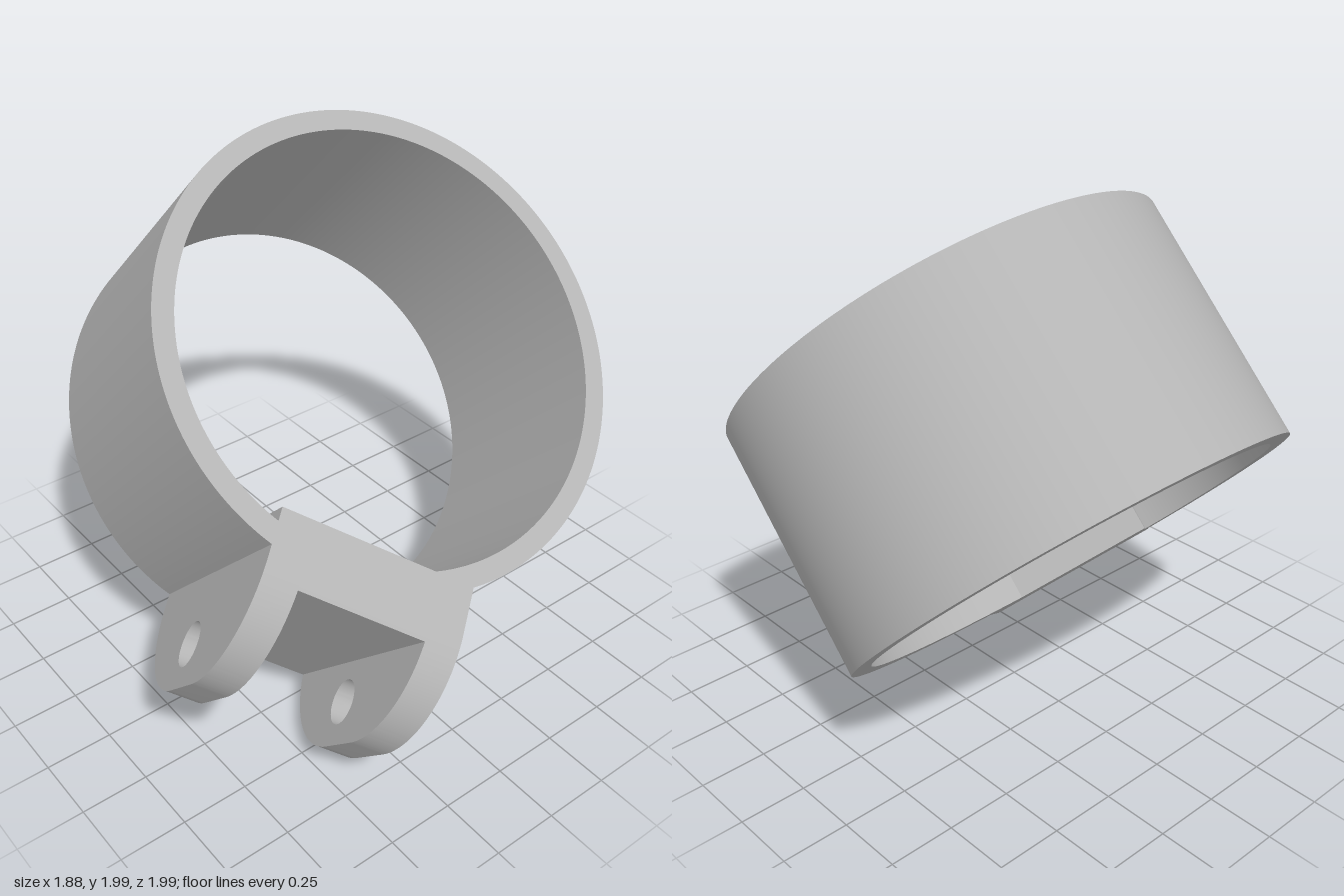
import * as THREE from 'three';
import { toCreasedNormals } from 'three/addons/utils/BufferGeometryUtils.js';

const grey = new THREE.MeshStandardMaterial({ color: 0xb5b5b5 });
grey.name = 'plain grey';

const HALF = 0.463;                    // half width of the band
const R_OUT = 0.855, R_IN = 0.78;      // band radii
const FLAT = 0.70;                     // distance of the inner flat from the axis
const T0 = -0.22, T1 = 0.49;           // sideways extent of the lug
const EAR = 0.125, TIP = 1.23, FLOOR = 0.93, FILLET = 0.37;

function extrude(shape, depth, curveSegments) {
  const g = new THREE.ExtrudeGeometry(shape, { depth, curveSegments, bevelEnabled: false });
  return toCreasedNormals(g, 0.3);
}

function part(name, geometry) {
  const mesh = new THREE.Mesh(geometry, grey);
  mesh.name = name;
  return mesh;
}

// Band: round outside, inside round with a stepped flat behind the lug
function bandGeometry() {
  const shape = new THREE.Shape();
  shape.absarc(0, 0, R_OUT, 0, Math.PI * 2, false);
  const hole = new THREE.Path();
  hole.moveTo(FLAT, T0);
  hole.lineTo(Math.sqrt(R_IN ** 2 - T0 ** 2), T0);
  hole.absarc(0, 0, R_IN, Math.asin(T0 / R_IN), Math.acos(FLAT / R_IN), true);
  hole.closePath();
  shape.holes.push(hole);
  const g = extrude(shape, HALF * 2, 128);
  g.rotateX(-Math.PI / 2);
  g.translate(0, -HALF, 0);
  return g;
}

// Ear: plate with two large rounded corners and a pin hole
function earGeometry() {
  const s = new THREE.Shape();
  const c = TIP - FILLET, h = HALF - FILLET;
  s.moveTo(FLAT, -HALF);
  s.lineTo(c, -HALF);
  s.absarc(c, -h, FILLET, -Math.PI / 2, 0, false);
  s.lineTo(TIP, h);
  s.absarc(c, h, FILLET, 0, Math.PI / 2, false);
  s.lineTo(FLAT, HALF);
  s.closePath();
  const hole = new THREE.Path();
  hole.absarc(1.076, -0.047, 0.08, 0, Math.PI * 2, true);
  s.holes.push(hole);
  return extrude(s, EAR, 32);
}

// Bridge between the ears, following the start of their rounded corners
function bridgeGeometry() {
  const s = new THREE.Shape();
  const c = TIP - FILLET, h = HALF - FILLET;
  const a = Math.acos((FLOOR - c) / FILLET);
  s.moveTo(FLAT + 0.005, -HALF);
  s.lineTo(c, -HALF);
  s.absarc(c, -h, FILLET, -Math.PI / 2, -a, false);
  s.absarc(c, h, FILLET, a, Math.PI / 2, false);
  s.lineTo(FLAT + 0.005, HALF);
  s.closePath();
  return extrude(s, T1 - T0 - 2 * EAR, 8);
}

export function createModel() {
  const model = new THREE.Group();
  model.name = 'pipeClamp';

  // x points out through the lug, y along the band axis, z to the lug's right
  const clamp = new THREE.Group();
  clamp.name = 'clampBody';
  clamp.rotation.y = -Math.PI * 0.75;

  clamp.add(part('band', bandGeometry()));
  const ear = earGeometry();
  for (const [name, t] of [['leftEar', T1], ['rightEar', T0 + EAR]]) {
    const mesh = part(name, ear);
    mesh.position.z = -t;
    clamp.add(mesh);
  }
  const bridge = part('lugBridge', bridgeGeometry());
  bridge.position.z = -(T1 - EAR);
  clamp.add(bridge);

  // Whole clamp leans forward
  const tilt = new THREE.Group();
  tilt.name = 'tiltedClamp';
  tilt.rotation.x = Math.PI / 4;
  tilt.position.set(0.085, 1.065, -0.06);
  tilt.add(clamp);
  model.add(tilt);
  return model;
}
